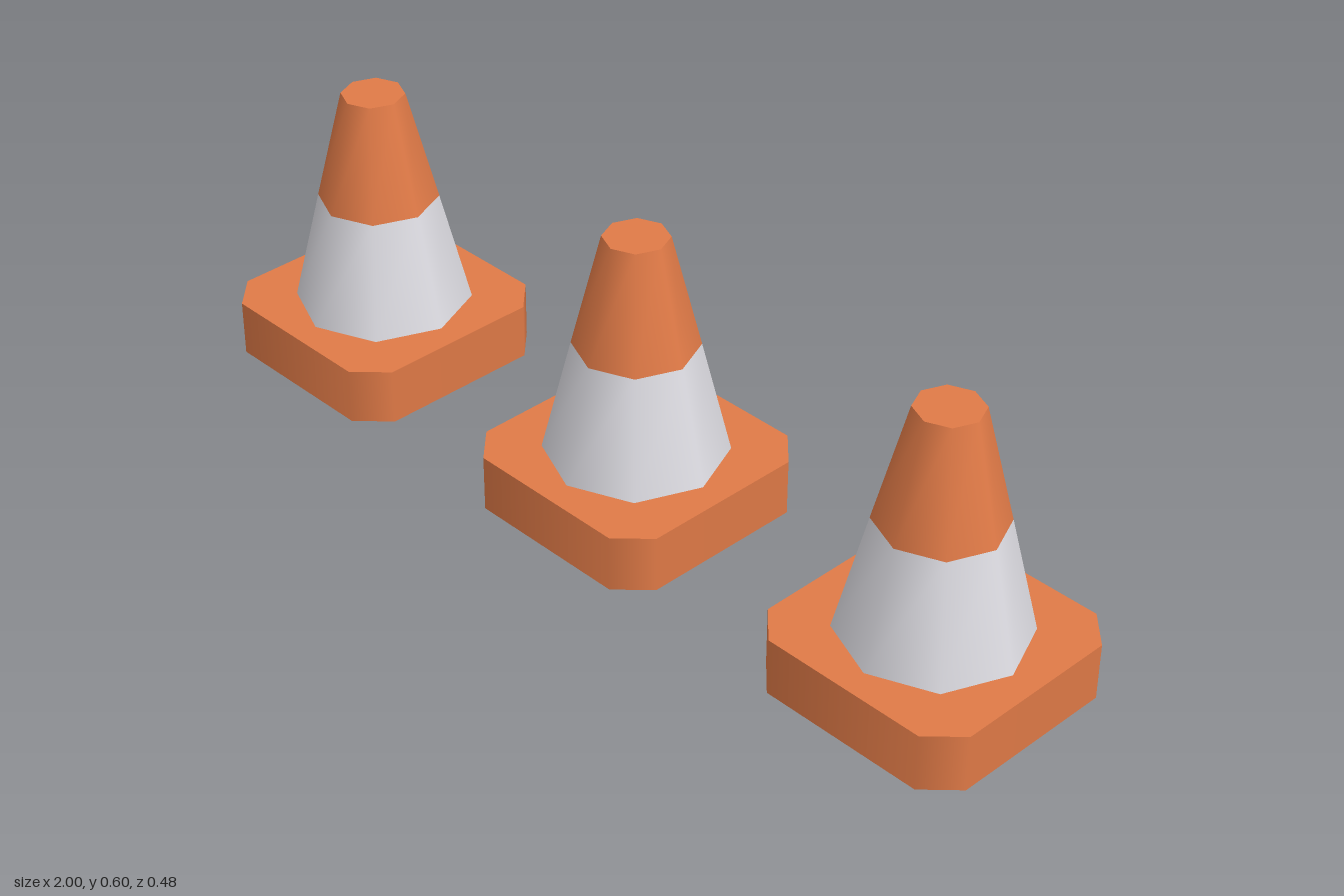
import * as THREE from 'three';

const SIDES = 8;

// Square slab with cut corners: an octagonal cylinder pushed out to a square outline
function slabGeometry(half, cut, height) {
  const geo = new THREE.CylinderGeometry(1, 1, height, SIDES, 1, false, Math.PI / SIDES);
  const pos = geo.attributes.position;
  const snap = (v) => (Math.abs(v) < 0.01 ? 0 : Math.sign(v) * (Math.abs(v) > 0.6 ? half : half - cut));
  for (let i = 0; i < pos.count; i++) {
    pos.setX(i, snap(pos.getX(i)));
    pos.setZ(i, snap(pos.getZ(i)));
  }
  return geo;
}

// Tapered octagonal section standing between two heights
function sectionGeometry(rBottom, rTop, y0, y1, open) {
  return new THREE.CylinderGeometry(rTop, rBottom, y1 - y0, SIDES, 1, open).translate(0, (y0 + y1) / 2, 0);
}

export function createModel() {
  const orange = new THREE.MeshStandardMaterial({ name: 'orange', color: 0xe07a47 });
  const white = new THREE.MeshStandardMaterial({ name: 'white', color: 0xdcdbe1 });

  const parts = [
    ['base', slabGeometry(0.238, 0.062, 0.12).translate(0, 0.06, 0), orange],
    ['whiteBand', sectionGeometry(0.183, 0.124, 0.12, 0.36, true), white],
    ['coneTip', sectionGeometry(0.124, 0.065, 0.36, 0.595, false), orange],
  ];

  // Three identical cones in a row
  const model = new THREE.Group();
  model.name = 'trafficCones';
  ['rightCone', 'middleCone', 'leftCone'].forEach((name, i) => {
    const cone = new THREE.Group();
    cone.name = name;
    cone.position.x = (i - 1) * 0.762;
    for (const [partName, geo, mat] of parts) {
      const mesh = new THREE.Mesh(geo, mat);
      mesh.name = partName;
      cone.add(mesh);
    }
    model.add(cone);
  });
  return model;
}
